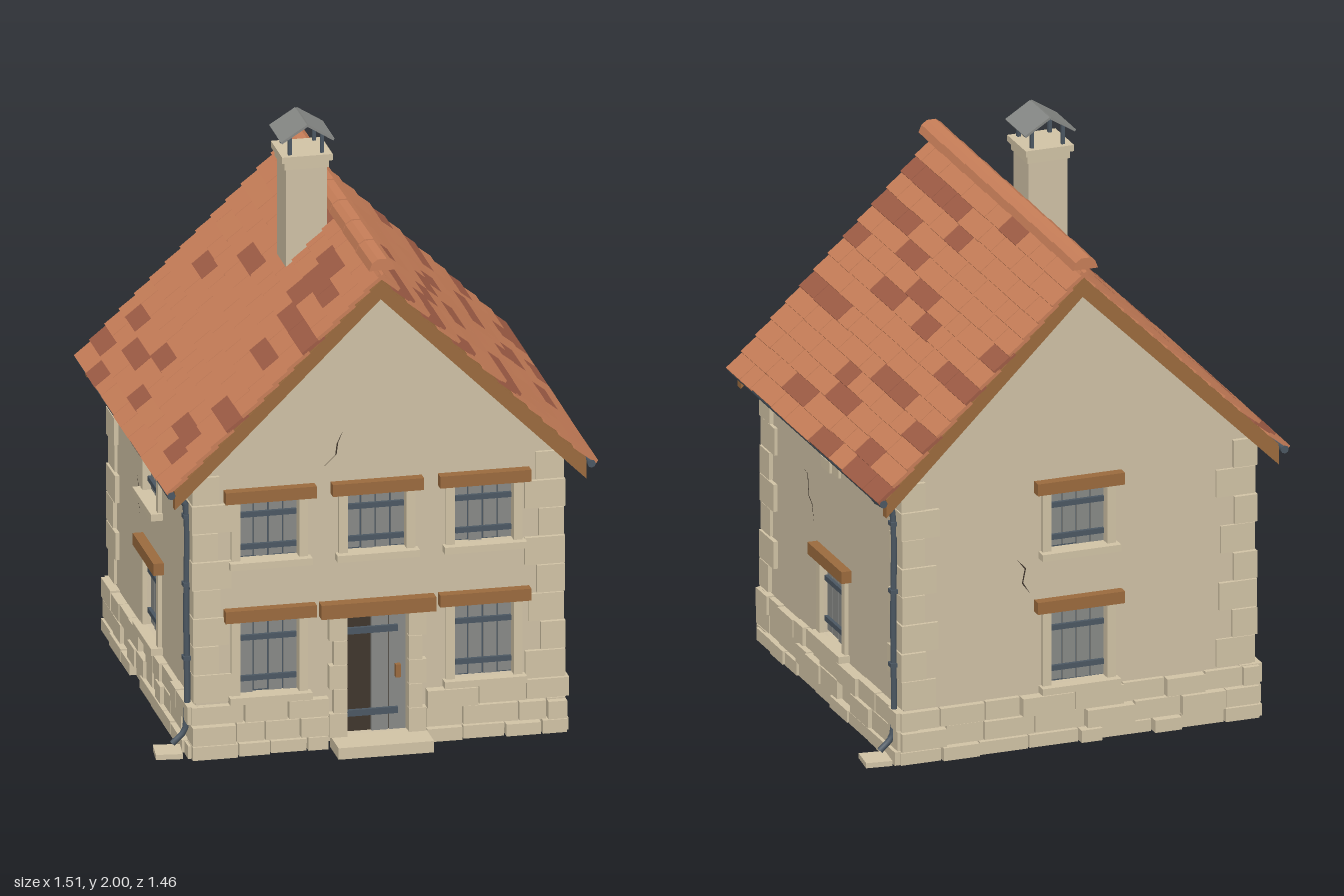
import * as THREE from 'three';
import { mergeGeometries } from 'three/addons/utils/BufferGeometryUtils.js';

const W = 0.62, D = 0.63, SLOPE = 0.985; // half width, half depth, roof pitch

const mat = (name, color, side = THREE.FrontSide) => {
  const m = new THREE.MeshStandardMaterial({ color, side });
  m.name = name;
  return m;
};

export function createModel() {
  const M = {
    plaster: mat('plaster', 0xd0c2a6),
    stone: mat('stone', 0xd2c4a6),
    wood: mat('oak', 0x9c6b3e),
    tile: mat('clay tile', 0xc97f59),
    darkTile: mat('dark clay tile', 0xa05d46),
    grey: mat('weathered grey', 0x888a87, THREE.DoubleSide),
    iron: mat('iron', 0x4c5863),
    dark: mat('dark interior', 0x40362d, THREE.DoubleSide),
  };
  let seed = 7;
  const rnd = (a = 0, b = 1) => {
    seed = (seed * 16807) % 2147483647;
    return a + (b - a) * seed / 2147483647;
  };
  const model = new THREE.Group();
  model.name = 'cottage';
  const house = new THREE.Group();
  house.name = 'house';
  house.position.z = -0.02;
  model.add(house);

  const add = (parent, name, geo, m, x = 0, y = 0, z = 0) => {
    const mesh = new THREE.Mesh(geo, m);
    mesh.name = name;
    mesh.position.set(x, y, z);
    parent.add(mesh);
    return mesh;
  };
  const box = (p, name, m, w, h, d, x, y, z) => add(p, name, new THREE.BoxGeometry(w, h, d), m, x, y, z);
  const poly = pts => new THREE.Shape(pts.map(p => new THREE.Vector2(...p)));
  const extrude = (shape, depth) => new THREE.ExtrudeGeometry(shape, { depth, bevelEnabled: false });

  // Facade: a wall with openings, its local +z pointing outwards
  const facade = (name, outline, angle, x, z, openings) => {
    const g = new THREE.Group();
    g.name = name;
    g.rotation.y = angle;
    g.position.set(x, 0, z);
    house.add(g);
    const shape = poly(outline);
    openings.forEach(([cx, y0, w, h]) => shape.holes.push(new THREE.Path(
      [[-1, 0], [-1, 1], [1, 1], [1, 0]].map(([sx, sy]) => new THREE.Vector2(cx + sx * w / 2, y0 + sy * h)))));
    add(g, 'wall', extrude(shape, 0.03), M.plaster, 0, 0, -0.03);
    return g;
  };

  // Window with stone surround, boarded shutter and iron straps
  const windowUnit = (parent, [cx, y0, w, h]) => {
    const g = new THREE.Group();
    g.name = 'window';
    g.position.set(cx, y0, 0);
    parent.add(g);
    box(g, 'pane', M.iron, w + 0.01, h + 0.01, 0.008, 0, h / 2, -0.03);
    for (let i = 0; i < 4; i++)
      box(g, 'shutterBoard', M.grey, w / 4 - 0.006, h - rnd(0, 0.02), 0.008, (i - 1.5) * w / 4, h / 2, -0.018);
    for (const f of [0.2, 0.74]) box(g, 'strap', M.iron, w - 0.01, 0.018, 0.012, 0, h * f, -0.008);
    for (const s of [-1, 1]) box(g, 'jamb', M.stone, 0.03, h, 0.045, s * (w / 2 + 0.015), h / 2, -0.008);
    box(g, 'sill', M.stone, w + 0.08, 0.024, 0.07, 0, -0.012, 0.005);
    box(g, 'lintel', M.wood, w + 0.11, 0.042, 0.065, 0, h + 0.02, 0.003);
  };

  // Rough courses of stones along the foot of a wall
  const plinth = (parent, from, to) => {
    [[0, 0.05], [0.05, 0.12], [0.12, 0.19]].forEach(([y0, y1]) => {
      for (let x = from; x < to - 0.01;) {
        let w = rnd(0.08, 0.19);
        if (to - x - w < 0.06) w = to - x;
        const d = rnd(0.06, 0.085), h = y1 - y0 - rnd(0.003, 0.009);
        box(parent, 'plinthStone', M.stone, w - 0.006, h, d, x + w / 2, y0 + h / 2, d / 2 - 0.046);
        x += w;
      }
    });
  };

  // Jagged crack as a thin strip
  const crack = (parent, pts) => {
    const back = pts.slice(1, -1).reverse().map(([x, y]) => [x + 0.005, y + 0.002]);
    add(parent, 'crack', new THREE.ShapeGeometry(poly([...pts, ...back])), M.dark, 0, 0, 0.002);
  };

  // Walls
  const gable = [[-W, 0.02], [W, 0.02], [W, 1.63 - W * SLOPE], [0, 1.63], [-W, 1.63 - W * SLOPE]];
  const side = [[-D, 0.02], [D, 0.02], [D, 0.99], [-D, 0.99]];
  const low = x => [x, 0.21, 0.2, 0.265], high = x => [x, 0.685, 0.2, 0.21];
  const door = [-0.005, 0.04, 0.21, 0.43];
  const frontWin = [low(-0.37), low(0.36), high(-0.37), high(-0.005), high(0.36)];
  const front = facade('frontFacade', gable, 0, 0, D, [...frontWin, door]);
  const back = facade('backFacade', gable, Math.PI, 0, -D, [low(0), high(0)]);
  const left = facade('leftFacade', side, Math.PI / 2, W, 0, [low(0)]);
  const right = facade('rightFacade', side, -Math.PI / 2, -W, 0, [low(0), high(0)]);
  frontWin.forEach(o => windowUnit(front, o));
  windowUnit(left, low(0));
  [back, right].forEach(f => [low(0), high(0)].forEach(o => windowUnit(f, o)));
  plinth(front, -W - 0.02, -0.17);
  plinth(front, 0.16, W + 0.02);
  plinth(back, -W - 0.02, W + 0.02);
  [left, right].forEach(f => plinth(f, -D - 0.015, D + 0.015));
  crack(front, [[-0.12, 1.11], [-0.14, 1.07], [-0.145, 1.03], [-0.185, 0.99]]);
  crack(left, [[-0.27, 0.73], [-0.24, 0.725], [-0.23, 0.65], [-0.2, 0.63], [-0.18, 0.57]]);
  crack(back, [[-0.22, 0.67], [-0.19, 0.63], [-0.2, 0.58], [-0.17, 0.54]]);
  crack(right, [[-0.24, 0.7], [-0.22, 0.66], [-0.22, 0.61], [-0.19, 0.56]]);
  [[-0.05, 0.865, 0.07], [0.07, 0.87, 0.09], [-0.06, 0.82, 0.08], [0.03, 0.83, 0.06]].forEach(([x, y, w]) =>
    box(left, 'exposedStone', M.stone, w, 0.038, 0.012, x, y, 0.003));

  // Corner stones, alternating long and short
  for (const sx of [-1, 1]) for (const sz of [-1, 1]) for (let i = 0; i < 8; i++) {
    const long = i % 2 === 0, e = rnd(0.008, 0.016);
    const w = (long ? 0.13 : 0.09) + rnd(-0.01, 0.01), d = (long ? 0.09 : 0.13) + rnd(-0.01, 0.01);
    box(house, 'cornerStone', M.stone, w, 0.096, d, sx * (W + e - w / 2), 0.24 + i * 0.1, sz * (D + e - d / 2));
  }

  // Door with a missing board, stone jambs and lintel
  const doorGroup = new THREE.Group();
  doorGroup.name = 'door';
  front.add(doorGroup);
  box(doorGroup, 'doorBacking', M.dark, 0.22, 0.44, 0.008, -0.005, 0.255, -0.03);
  for (const x of [0.01, 0.07]) box(doorGroup, 'doorBoard', M.grey, 0.056, 0.425, 0.01, x, 0.253, -0.02);
  for (const y of [0.11, 0.4]) box(doorGroup, 'doorStrap', M.iron, 0.18, 0.022, 0.012, -0.02, y, -0.01);
  box(doorGroup, 'handle', M.wood, 0.018, 0.045, 0.02, 0.07, 0.25, -0.006);
  box(doorGroup, 'doorLintel', M.wood, 0.39, 0.05, 0.075, -0.005, 0.49, 0.005);
  for (const s of [-1, 1]) for (let i = 0; i < 5; i++)
    box(doorGroup, 'doorJamb', M.stone, i % 2 ? 0.045 : 0.06, 0.083, 0.06,
      -0.005 + s * (0.105 + (i % 2 ? 0.0225 : 0.03)), 0.083 + i * 0.085, 0);
  box(front, 'doorStep', M.stone, 0.325, 0.04, 0.13, 0, 0.02, 0.065);

  // Roof deck and gable boards
  const chevron = (top, thick, half, depth) => extrude(poly([
    [0, top], [-half, top - half * SLOPE], [-half, top - half * SLOPE - thick],
    [0, top - thick], [half, top - half * SLOPE - thick], [half, top - half * SLOPE]]), depth);
  add(house, 'roofDeck', chevron(1.655, 0.02, 0.7, 1.34), M.wood, 0, 0, -0.67);
  for (const z of [0.645, -0.675]) add(house, 'gableBoard', chevron(1.648, 0.065, 0.7, 0.03), M.wood, 0, 0, z);

  // Overlapping tile courses on both slopes
  const rows = 14, step = 1.015 / rows;
  for (const s of [1, -1]) {
    const slope = new THREE.Group();
    slope.name = s > 0 ? 'leftRoofSlope' : 'rightRoofSlope';
    slope.position.y = 1.675;
    slope.rotation.set(0, s > 0 ? 0 : Math.PI, -Math.atan(SLOPE), 'YZX');
    house.add(slope);
    const sets = { tile: [], darkTile: [] };
    for (let r = 0; r < rows; r++) for (let z = -0.69; z < 0.689;) {
      let w = rnd(0.09, 0.24);
      if (0.69 - z - w < 0.06) w = 0.69 - z;
      const geo = new THREE.BoxGeometry(0.088 + rnd(0, 0.008), 0.012, w - 0.003);
      geo.rotateZ(0.11 + rnd(-0.01, 0.015));
      geo.translate((r + 0.5) * step + 0.002, -0.004, z + w / 2);
      sets[rnd() < 0.17 ? 'darkTile' : 'tile'].push(geo);
      z += w;
    }
    for (const k in sets) add(slope, k === 'tile' ? 'roofTiles' : 'darkRoofTiles', mergeGeometries(sets[k]), M[k]);

    // Gutter and rafter ends
    const gutter = new THREE.CylinderGeometry(0.014, 0.014, 1.38, 8).rotateX(Math.PI / 2);
    add(house, 'gutter', gutter, M.iron, s * 0.715, 0.95, 0);
    for (let i = 0; i < 9; i++)
      box(house, 'rafterEnd', M.wood, 0.09, 0.03, 0.025, s * 0.655, 0.97, -0.6 + i * 0.15).rotation.z = -s * 0.778;

    // Downpipe with clips and splash stone
    const z = s > 0 ? -0.59 : 0.59;
    const path = new THREE.CatmullRomCurve3([[0.715, 0.945], [0.7, 0.925], [0.65, 0.89], [0.642, 0.85], [0.642, 0.5],
      [0.642, 0.12], [0.65, 0.08], [0.69, 0.04]].map(([x, y]) => new THREE.Vector3(s * x, y, z)), false, 'centripetal');
    add(house, 'downpipe', new THREE.TubeGeometry(path, 40, 0.011, 8), M.iron);
    for (const y of [0.34, 0.6, 0.84]) box(house, 'pipeClip', M.iron, 0.034, 0.014, 0.03, s * 0.638, y, z);
    box(house, 'splashStone', M.stone, 0.09, 0.018, 0.1, s * 0.705, 0.011, z).rotation.y = -0.12;
  }

  // Ridge tiles
  const ridge = poly([[-0.045, 0], [0.045, 0], [0.035, 0.026], [0.015, 0.04], [-0.015, 0.04], [-0.035, 0.026]]);
  for (let i = 0; i < 7; i++)
    add(house, 'ridgeTile', extrude(ridge, 0.207), M.tile, 0, 1.69, -0.7 + i * 0.199).rotation.x = -0.02;

  // Chimney with collar, posts and folded metal cowl
  const chimney = new THREE.Group();
  chimney.name = 'chimney';
  chimney.position.set(-0.115, 0, 0);
  house.add(chimney);
  box(chimney, 'stack', M.plaster, 0.14, 0.42, 0.135, 0, 1.66, 0);
  box(chimney, 'collar', M.stone, 0.172, 0.022, 0.17, 0, 1.878, 0);
  box(chimney, 'collarBand', M.stone, 0.152, 0.03, 0.148, 0, 1.855, 0);
  for (const sx of [-1, 1]) {
    for (const sz of [-1, 1]) box(chimney, 'cowlPost', M.iron, 0.012, 0.075, 0.012, sx * 0.055, 1.925, sz * 0.06);
    box(chimney, 'cowlSheet', M.grey, 0.105, 0.008, 0.178, sx * 0.045, 1.969, 0).rotation.z = -sx * 0.56;
  }
  return model;
}
